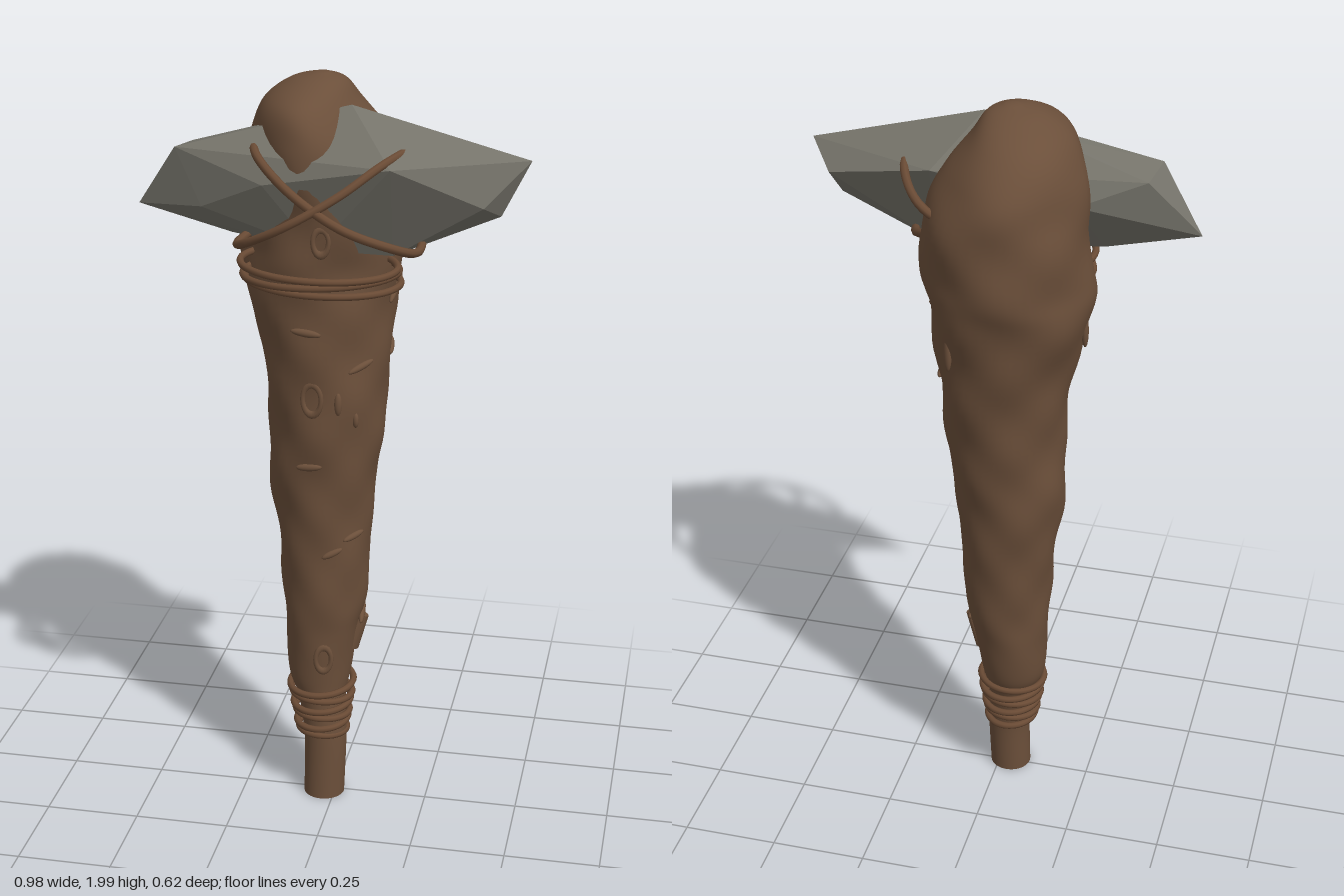
import * as THREE from 'three';
import { ConvexGeometry } from 'three/addons/geometries/ConvexGeometry.js';

const mat = (name, color) => {
  const m = new THREE.MeshStandardMaterial({ color });
  m.name = name;
  return m;
};

// Club outline: y, xMin, xMax, zMin, zMax, narrowing of the front side
const ROWS = [
  [0.01, -0.085, 0.025, -0.045, 0.064, 0],
  [0.18, -0.085, 0.03, -0.055, 0.058, 0],
  [0.30, -0.105, 0.025, -0.085, 0.055, 0],
  [0.37, -0.132, 0.036, -0.12, 0.06, 0],
  [0.50, -0.14, 0.055, -0.145, 0.07, 0],
  [0.60, -0.145, 0.075, -0.16, 0.08, 0],
  [0.80, -0.16, 0.085, -0.185, 0.09, 0],
  [0.95, -0.185, 0.10, -0.20, 0.10, 0],
  [1.10, -0.183, 0.122, -0.215, 0.115, 0],
  [1.30, -0.20, 0.133, -0.245, 0.125, 0],
  [1.50, -0.25, 0.15, -0.285, 0.14, 0.05],
  [1.60, -0.245, 0.165, -0.303, 0.15, 0.1],
  [1.75, -0.235, 0.165, -0.30, 0.165, 0.22],
  [1.85, -0.225, 0.115, -0.275, 0.165, 0.25],
  [1.93, -0.19, 0.055, -0.215, 0.13, 0.2],
  [1.98, -0.125, 0.02, -0.125, 0.04, 0.1],
  [2.00, -0.055, -0.025, -0.055, -0.025, 0],
];
const profile = new THREE.CubicInterpolant(ROWS.map((_, i) => i), ROWS.flat(), 6);

// Point on the club: u runs along the rows, a runs from the left side (+x) to the front (+z)
function clubPoint(u, a) {
  const [y, x0, x1, z0, z1, t] = profile.evaluate(u);
  const c = Math.cos(a), s = Math.sin(a);
  const fade = Math.min(1, Math.max(0, (y - 0.35) * 4)) * Math.min(1, (2 - y) * 4);
  const rough = 1 + 0.03 * fade * (Math.sin(a * 3 + y * 9) * Math.sin(y * 17 + a)
    + 0.5 * Math.sin(a * 5 - y * 29));
  return new THREE.Vector3(
    (x0 + x1) / 2 + (x1 - x0) / 2 * c * (1 - t * Math.max(0, s)) * rough,
    y, (z0 + z1) / 2 + (z1 - z0) / 2 * s * rough);
}

function rowAt(y) {
  let lo = 0, hi = ROWS.length - 1;
  for (let i = 0; i < 30; i++) {
    const mid = (lo + hi) / 2;
    if (profile.evaluate(mid)[0] < y) lo = mid; else hi = mid;
  }
  return lo;
}

function clubGeometry() {
  const N = 48, M = 128, pos = [], index = [];
  const ring = (u, scale = 1) => {
    for (let j = 0; j < N; j++) {
      const p = clubPoint(u, j / N * Math.PI * 2);
      pos.push(-0.03 + (p.x + 0.03) * scale, p.y, 0.01 + (p.z - 0.01) * scale);
    }
  };
  const join = r => {
    for (let j = 0; j < N; j++) {
      const a = r * N + j, b = r * N + (j + 1) % N;
      index.push(a, a + N, b, b, a + N, b + N);
    }
  };
  // Flat foot, with its own rings so the rim stays sharp
  ring(0, 0.01);
  ring(0);
  join(0);
  for (let i = 0; i <= M; i++) {
    ring(i / M * (ROWS.length - 1));
    if (i < M) join(i + 2);
  }
  // Crown
  const top = pos.length / 3, last = top - N;
  pos.push(-0.04, 2, -0.04);
  for (let j = 0; j < N; j++) index.push(last + j, top, last + (j + 1) % N);
  const g = new THREE.BufferGeometry();
  g.setAttribute('position', new THREE.Float32BufferAttribute(pos, 3));
  g.setIndex(index);
  g.computeVertexNormals();
  return g;
}

export function createModel() {
  const wood = mat('wood', 0x6b4f3a);
  const cord = mat('cord', 0x6a4b35);
  const stone = mat('stone', 0x75736a);
  const model = new THREE.Group();
  model.name = 'stoneClub';
  const add = (name, geometry, material) => {
    const m = new THREE.Mesh(geometry, material);
    m.name = name;
    model.add(m);
    return m;
  };

  add('clubBody', clubGeometry(), wood);

  // Bark ridges: y, angle round the club, half length, half thickness, tilt
  const ridges = [
    [1.38, 1.63, 0.04, 0.01, -0.1], [1.28, 0.8, 0.04, 0.009, 0.3],
    [1.29, -0.15, 0.045, 0.009, 0.2], [1.46, 0.1, 0.06, 0.01, 0.5],
    [1.01, 1.65, 0.035, 0.01, 0.1], [0.80, 0.7, 0.035, 0.009, 0.2],
    [1.19, 1.2, 0.01, 0.03, 0], [1.14, 0.9, 0.008, 0.02, 0],
    [1.42, -0.9, 0.012, 0.05, 0], [0.54, -0.1, 0.05, 0.012, 0.3],
    [0.76, 1.2, 0.03, 0.009, 0.4], [1.45, 3.2, 0.012, 0.05, 0.1],
  ];
  for (const [y, a, w, h, tilt] of ridges) {
    const m = add('barkRidge', new THREE.SphereGeometry(1, 16, 10), wood);
    m.scale.set(w, h, 0.009);
    m.position.copy(clubPoint(rowAt(y), a));
    m.rotation.set(0, Math.PI / 2 - a, tilt);
  }

  // Knot holes
  for (const [y, a, r] of [[0.44, 1.3, 0.026], [1.2, 1.62, 0.03], [1.62, 1.4, 0.024]]) {
    const m = add('knot', new THREE.TorusGeometry(r, 0.008, 8, 20), wood);
    m.scale.set(0.8, 1.35, 0.8);
    m.position.copy(clubPoint(rowAt(y), a));
    m.rotation.y = Math.PI / 2 - a;
  }

  // Broken twig
  const twig = add('twigStub', new THREE.CylinderGeometry(0.012, 0.03, 0.1, 12), wood);
  twig.position.set(0.05, 0.49, -0.04);
  twig.rotation.z = -0.45;

  // Chipped stone blade
  const corners = [
    [-0.49, 1.67, 0.05], [-0.38, 1.83, 0.105], [-0.365, 1.82, -0.01], [-0.315, 1.685, 0.11],
    [-0.14, 1.89, 0.04], [0.05, 1.94, 0.05], [-0.15, 1.76, 0.165], [-0.2, 1.76, -0.06],
    [0.17, 1.82, 0.2], [0.15, 1.83, -0.09], [-0.25, 1.61, 0.06], [-0.03, 1.59, 0.11],
    [0.16, 1.58, 0.09], [0.17, 1.59, 0.03], [0.385, 1.72, 0.13], [0.42, 1.685, 0.06],
    [0.425, 1.77, -0.025], [0.49, 1.825, 0.058],
  ];
  add('stoneBlade', new ConvexGeometry(corners.map(c => new THREE.Vector3(...c))), stone);

  // Closed cord loop through a few points
  const loop = (name, points, r) => add(name, new THREE.TubeGeometry(
    new THREE.CatmullRomCurve3(points.map(p => new THREE.Vector3(...p)), true), 80, r, 8, true), cord);

  // Crossed lashings over the blade
  loop('crossLashing', [
    [-0.215, 1.61, 0.14], [-0.17, 1.64, 0.25], [-0.06, 1.70, 0.3], [0.06, 1.77, 0.27],
    [0.15, 1.83, 0.19], [0.21, 1.85, 0.08], [0.228, 1.83, -0.03], [0.14, 1.78, -0.19],
    [0, 1.72, -0.2], [-0.15, 1.64, -0.06],
  ], 0.011);
  loop('crossLashing', [
    [0.23, 1.615, 0.17], [0.18, 1.65, 0.26], [0.07, 1.70, 0.3], [-0.06, 1.77, 0.26],
    [-0.17, 1.835, 0.14], [-0.18, 1.84, 0], [-0.1, 1.8, -0.15], [0.08, 1.71, -0.15],
    [0.18, 1.66, -0.08], [0.225, 1.62, 0.05],
  ], 0.011);

  // Wound rings: centre x, y, z, radii in x and z, tilt in x and z
  const wound = (name, [x, y, z, rx, rz, tx, tz]) => loop(name,
    Array.from({ length: 12 }, (_, i) => {
      const a = i / 12 * Math.PI * 2, dx = rx * Math.cos(a), dz = rz * Math.sin(a);
      return [x + dx, y + dx * tx + dz * tz, z + dz];
    }), 0.009);
  for (let i = 0; i < 3; i++)
    wound('neckBinding', [-0.02, 1.505 + i * 0.026, 0.06 + i * 0.025, 0.195, 0.165, i % 2 ? 0.04 : -0.03, 0.02]);
  for (let i = 0; i < 6; i++) {
    const t = i / 5;
    wound('gripBinding', [-0.038 - t * 0.004, 0.2 + t * 0.135, -0.013 - t * 0.008,
      0.066 + t * 0.02, 0.07 + t * 0.02, i % 2 ? 0.06 : -0.06, i % 2 ? -0.05 : 0.05]);
  }
  return model;
}
